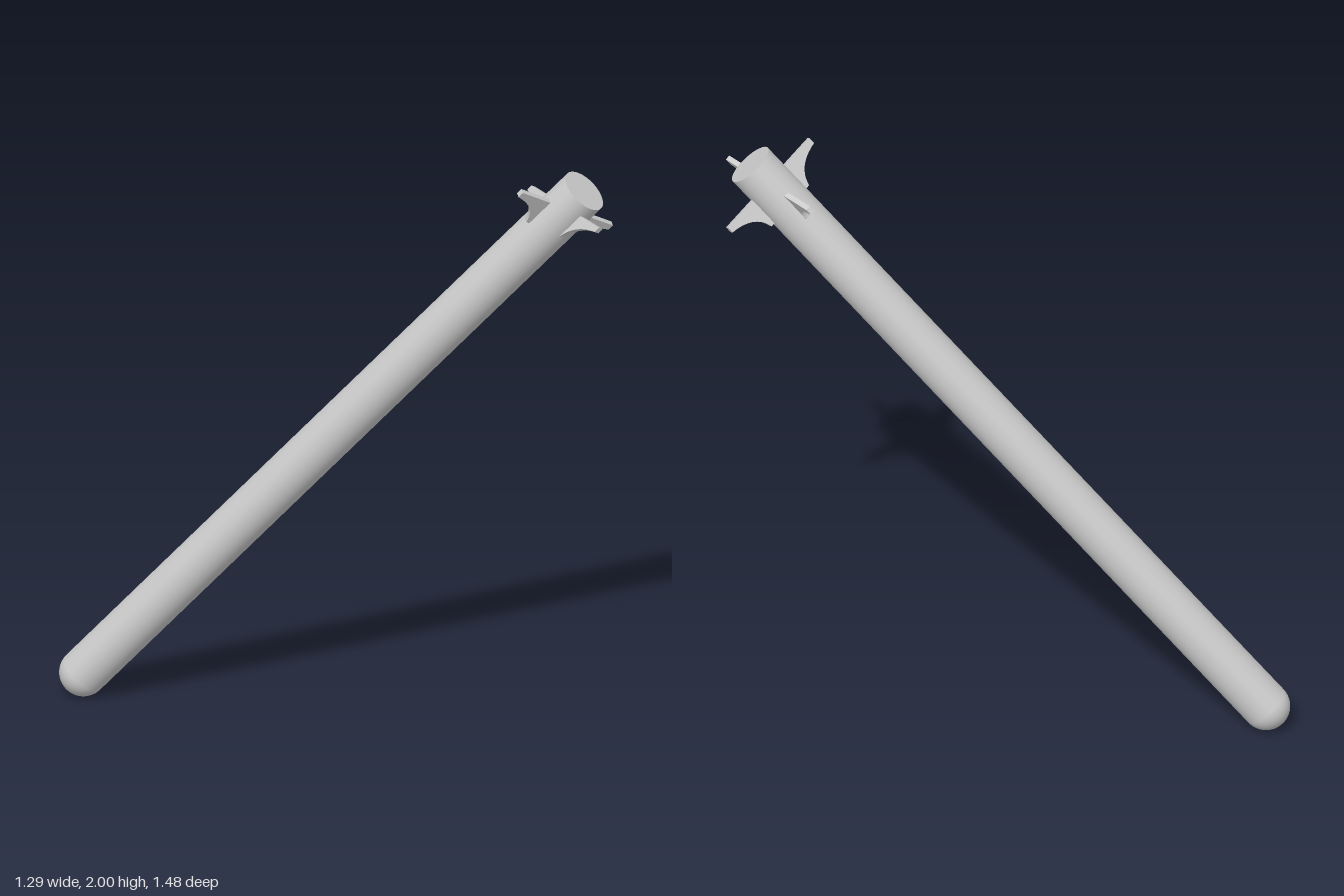
import * as THREE from 'three';

const RADIUS = 0.077;
const BOTTOM = new THREE.Vector3(-0.571, 0.077, -0.663); // centre of the round end
const TOP = new THREE.Vector3(0.507, 1.952, 0.588); // centre of the flat end

export function createModel() {
  const model = new THREE.Group();
  const material = new THREE.MeshStandardMaterial({ color: 0xcccccc });
  const add = (name, geometry, parent = model) => {
    const mesh = new THREE.Mesh(geometry, material);
    mesh.name = name;
    parent.add(mesh);
    return mesh;
  };

  const axis = TOP.clone().sub(BOTTOM);
  const length = axis.length();
  axis.normalize();

  // Leaning tube with a hemispherical lower end and a flat upper end
  const tube = new THREE.Group();
  tube.name = 'tube';
  tube.position.copy(BOTTOM);
  tube.quaternion.setFromUnitVectors(new THREE.Vector3(0, 1, 0), axis);
  model.add(tube);
  const profile = [];
  for (let i = 0; i <= 12; i++) {
    const a = (i / 12) * Math.PI / 2;
    profile.push(new THREE.Vector2(RADIUS * Math.sin(a), -RADIUS * Math.cos(a)));
  }
  profile.push(new THREE.Vector2(RADIUS, length));
  add('tubeBody', new THREE.LatheGeometry(profile, 48), tube);
  const cap = add('tubeEndCap', new THREE.CircleGeometry(RADIUS, 48), tube);
  cap.rotation.x = -Math.PI / 2;
  cap.position.y = length;

  // Fin outline: x runs outward, y along the tube; straight top, concave lower edge
  const outline = new THREE.Shape();
  outline.moveTo(0.04, 0);
  outline.lineTo(0.04, -0.105);
  outline.lineTo(0.09, -0.105);
  outline.quadraticCurveTo(0.105, -0.035, 0.196, -0.022);
  outline.lineTo(0.196, 0);
  outline.closePath();
  const thickness = 0.017;
  const finShape = new THREE.ExtrudeGeometry(outline, {
    depth: thickness, bevelEnabled: false, curveSegments: 10,
  });
  finShape.translate(0, 0, -thickness / 2);

  // Four fins; the front and back pair stay level, so they are skewed to the tube
  const root = TOP.clone().addScaledVector(axis, -0.085);
  const side = new THREE.Vector3(axis.y, -axis.x, 0).normalize();
  const front = new THREE.Vector3(0, 0, 1);
  const fins = {
    leftFin: side, rightFin: side.clone().negate(),
    frontFin: front, backFin: front.clone().negate(),
  };
  for (const [name, outward] of Object.entries(fins)) {
    const normal = outward.clone().cross(axis).normalize();
    const basis = new THREE.Matrix4().makeBasis(outward, axis, normal).setPosition(root);
    add(name, finShape.clone().applyMatrix4(basis));
  }
  return model;
}
